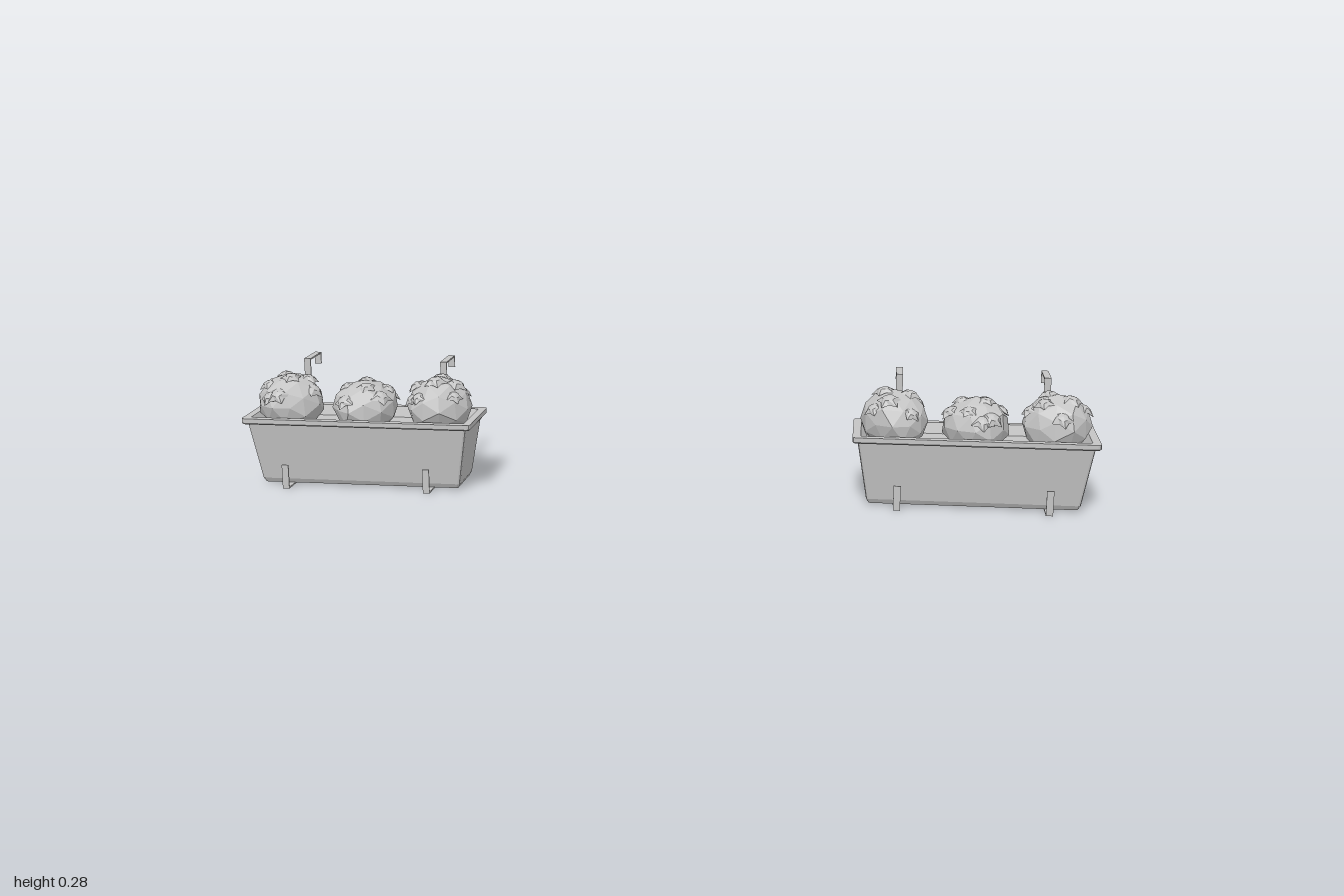
import * as THREE from 'three';

const grey = new THREE.MeshStandardMaterial({ color: 0xc4c4c4, flatShading: true, side: THREE.DoubleSide });
grey.name = 'plain grey';

function addMesh(parent, geometry, name) {
  const mesh = new THREE.Mesh(geometry, grey);
  mesh.name = name;
  parent.add(mesh);
  return mesh;
}

// Outline of a rounded rectangle, three points per corner
function ring([y, hx, hz, r]) {
  const points = [];
  for (let c = 0; c < 4; c++) {
    const sx = c === 0 || c === 3 ? 1 : -1;
    const sz = c < 2 ? 1 : -1;
    for (let k = 0; k < 3; k++) {
      const a = (c + k / 2) * Math.PI / 2;
      points.push([sx * (hx - r) + r * Math.cos(a), y, sz * (hz - r) + r * Math.sin(a)]);
    }
  }
  return points;
}

// Joins cross-sections in order and closes both ends
function loft(sections) {
  const n = 12, verts = [], index = [];
  sections.forEach(s => verts.push(...ring(s).flat()));
  for (let s = 0; s < sections.length - 1; s++) {
    for (let i = 0; i < n; i++) {
      const a = s * n + i, b = s * n + (i + 1) % n;
      index.push(a, a + n, b, b, a + n, b + n);
    }
  }
  const last = (sections.length - 1) * n;
  for (let i = 1; i < n - 1; i++) {
    index.push(0, i, i + 1);
    index.push(last, last + i + 1, last + i);
  }
  const g = new THREE.BufferGeometry();
  g.setAttribute('position', new THREE.Float32BufferAttribute(verts, 3));
  g.setIndex(index);
  g.computeVertexNormals();
  return g;
}

// Tapered box with a lip and a recessed soil bed: y, half width, half depth, corner radius
const boxGeometry = loft([
  [0.004, 0.237, 0.058, 0.004],
  [0.015, 0.243, 0.064, 0.006],
  [0.155, 0.266, 0.083, 0.006],
  [0.153, 0.275, 0.091, 0.008],
  [0.156, 0.2775, 0.0935, 0.008],
  [0.167, 0.2775, 0.0935, 0.008],
  [0.167, 0.259, 0.075, 0.004],
  [0.142, 0.246, 0.068, 0.004],
]);

// Faceted ball of foliage, gently uneven
function bushGeometry(seed) {
  const g = new THREE.IcosahedronGeometry(0.078, 1);
  const p = g.attributes.position, v = new THREE.Vector3();
  for (let i = 0; i < p.count; i++) {
    v.fromBufferAttribute(p, i);
    v.multiplyScalar(1 + 0.05 * Math.sin(v.x * 70 + seed) * Math.cos(v.z * 60 + v.y * 50 + seed));
    p.setXYZ(i, v.x, v.y * 0.9, v.z);
  }
  g.computeVertexNormals();
  return g;
}

// Small five-pointed blossom, alternate rim points pulled in
function blossomGeometry() {
  const profile = [[0, -0.003], [0.031, -0.004], [0.014, 0.008], [0, 0.012]];
  const g = new THREE.LatheGeometry(profile.map(q => new THREE.Vector2(...q)), 10);
  const p = g.attributes.position;
  for (let i = 0; i < p.count; i++) {
    const column = Math.floor(i / profile.length);
    if (i % profile.length === 1 && column % 2) {
      p.setXYZ(i, p.getX(i) * 0.64, p.getY(i) + 0.003, p.getZ(i) * 0.64);
    }
  }
  g.computeVertexNormals();
  return g;
}

function makePlant(seed, blossom) {
  const plant = new THREE.Group();
  plant.name = 'plant';
  addMesh(plant, bushGeometry(seed), 'foliage').rotation.y = seed * 1.3;
  const up = new THREE.Vector3(0, 1, 0);
  const elevations = [0.45, 1.05, 0.5, 0.75, 0.4, 1.2, 0.55, 0.9, 0.35];
  elevations.forEach((e, i) => {
    const a = seed * 1.7 + i * 2.4;
    const dir = new THREE.Vector3(Math.cos(e) * Math.cos(a), Math.sin(e), Math.cos(e) * Math.sin(a));
    const flower = addMesh(plant, blossom, 'blossom');
    flower.position.set(dir.x * 0.071, dir.y * 0.069, dir.z * 0.071);
    flower.quaternion.setFromUnitVectors(up, dir.lerp(up, 0.5).normalize());
    flower.rotateY(a);
    flower.scale.setScalar(0.88 + 0.12 * Math.sin(seed + i * 3));
  });
  return plant;
}

// Flat strap bent under the box and hooked over a railing
function bracketGeometry() {
  const t = 0.0035;
  const outer = [[0.141, 0.058], [0.141, 0], [-0.059, 0], [-0.059, 0.276 - t],
    [-0.139 + t, 0.276 - t], [-0.139 + t, 0.247], [-0.139, 0.247], [-0.139, 0.276],
    [-0.059 + t, 0.276], [-0.059 + t, t], [0.141 - t, t], [0.141 - t, 0.058]];
  const shape = new THREE.Shape(outer.map(q => new THREE.Vector2(...q)));
  const g = new THREE.ExtrudeGeometry(shape, { depth: 0.016, bevelEnabled: false });
  g.translate(0, 0, -0.008);
  g.rotateY(-Math.PI / 2);
  return g;
}

export function createModel() {
  const model = new THREE.Group();
  model.name = 'railingPlanters';
  const blossom = blossomGeometry(), bracket = bracketGeometry();
  [-1, 1].forEach((side, k) => {
    const planter = new THREE.Group();
    planter.name = side < 0 ? 'rightPlanter' : 'leftPlanter';
    planter.position.x = side * 0.7225;
    model.add(planter);

    addMesh(planter, boxGeometry, 'planterBox').position.z = 0.0415;
    for (const x of [-0.173, 0.17]) addMesh(planter, bracket, 'bracket').position.x = x;

    [-0.184, 0.002, 0.184].forEach((x, i) => {
      const plant = makePlant(1 + i * 2 + k * 5, blossom);
      plant.position.set(x, i === 1 ? 0.183 : 0.19, 0.04);
      if (i === 1) plant.scale.y = 0.92;
      planter.add(plant);
    });
  });
  return model;
}
